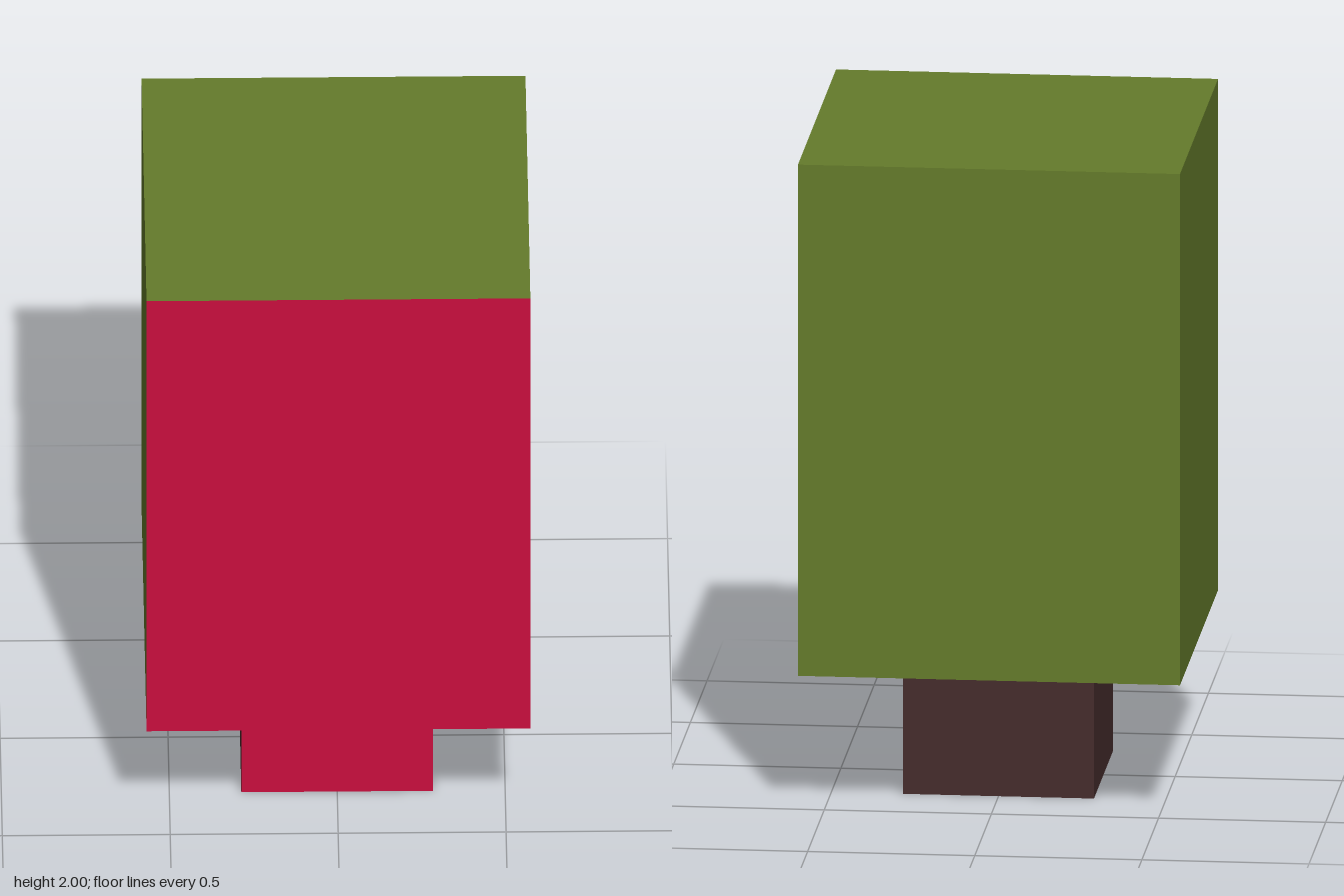
import * as THREE from 'three';

const paint = (name, color) => {
  const material = new THREE.MeshStandardMaterial({ color });
  material.name = name;
  return material;
};

// Square block standing on y = base, with one material per face
function block(name, width, height, base, faces) {
  const mesh = new THREE.Mesh(new THREE.BoxGeometry(width, height, width), faces);
  mesh.name = name;
  mesh.position.y = base + height / 2;
  return mesh;
}

export function createModel() {
  const red = paint('crimson', 0xca0e3e);
  const green = paint('leafGreen', 0x657c2b);
  const brown = paint('barkBrown', 0x462d2d);

  const tree = new THREE.Group();
  tree.name = 'blockTree';

  // Face order: left, right, top, bottom, front, back
  tree.add(
    block('trunk', 4 / 7, 3 / 7, 0, [red, brown, brown, red, red, brown]),
    block('foliage', 8 / 7, 11 / 7, 3 / 7, [red, green, green, red, red, green]),
  );
  return tree;
}
